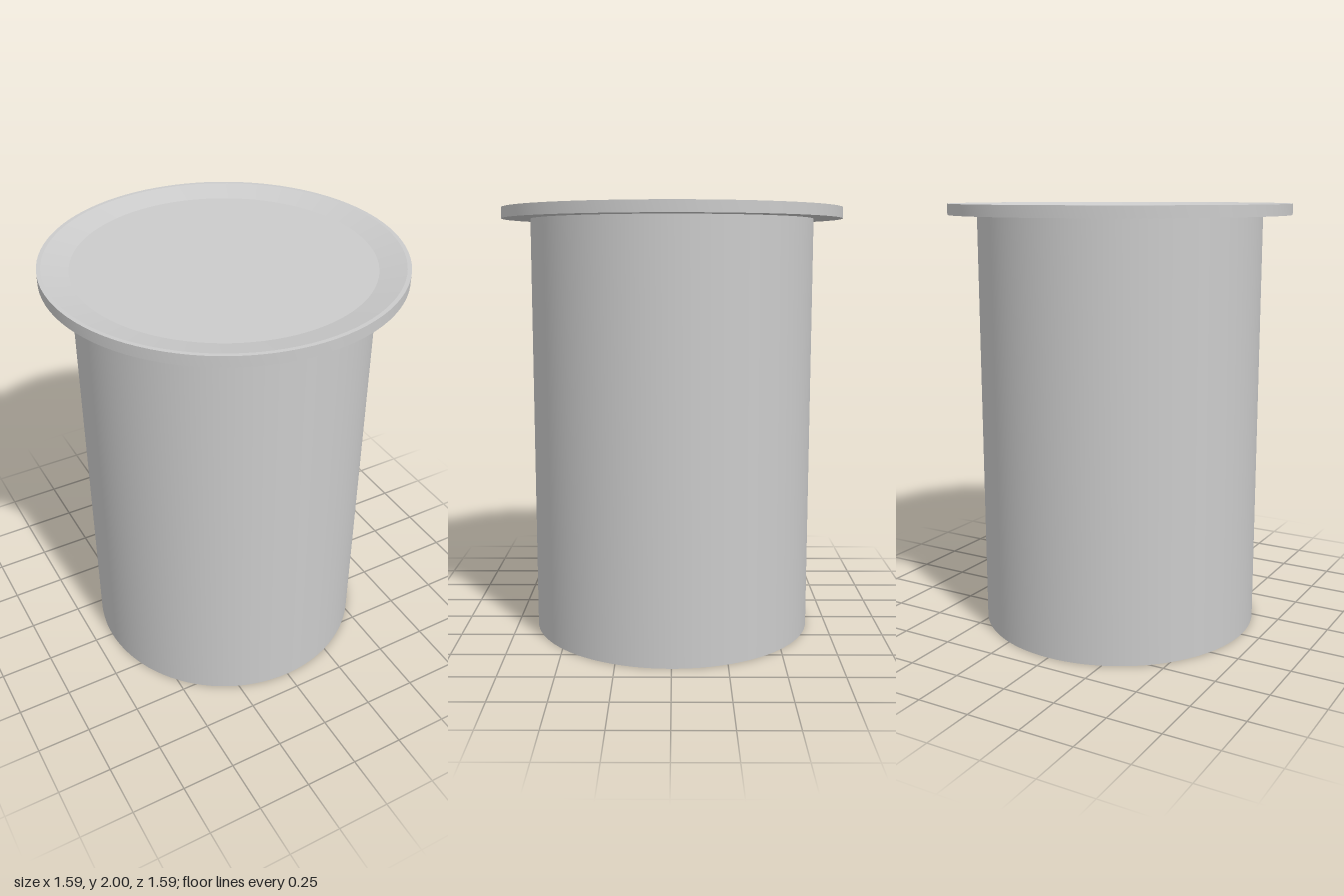
import * as THREE from 'three';
import { toCreasedNormals } from 'three/addons/utils/BufferGeometryUtils.js';

const SEGMENTS = 96;

// Revolve a [radius, height] profile, keeping its corners sharp
function revolve(name, profile, material) {
  const points = profile.map(([r, y]) => new THREE.Vector2(r, y));
  const geometry = toCreasedNormals(new THREE.LatheGeometry(points, SEGMENTS), 0.15);
  const mesh = new THREE.Mesh(geometry, material);
  mesh.name = name;
  return mesh;
}

export function createModel() {
  const group = new THREE.Group();
  group.name = 'flangedCylinder';
  const grey = new THREE.MeshStandardMaterial({ color: 0xcccccc });

  // Solid round body with a closed base
  group.add(revolve('body', [[0, 0], [0.66, 0], [0.66, 1.95]], grey));

  // Overhanging flange: flat underside, narrow lip, sloped dish and flat floor
  group.add(revolve('flange', [
    [0.66, 1.95], [0.793, 1.95], [0.793, 2], [0.775, 2], [0.66, 1.973], [0, 1.973],
  ], grey));

  return group;
}
